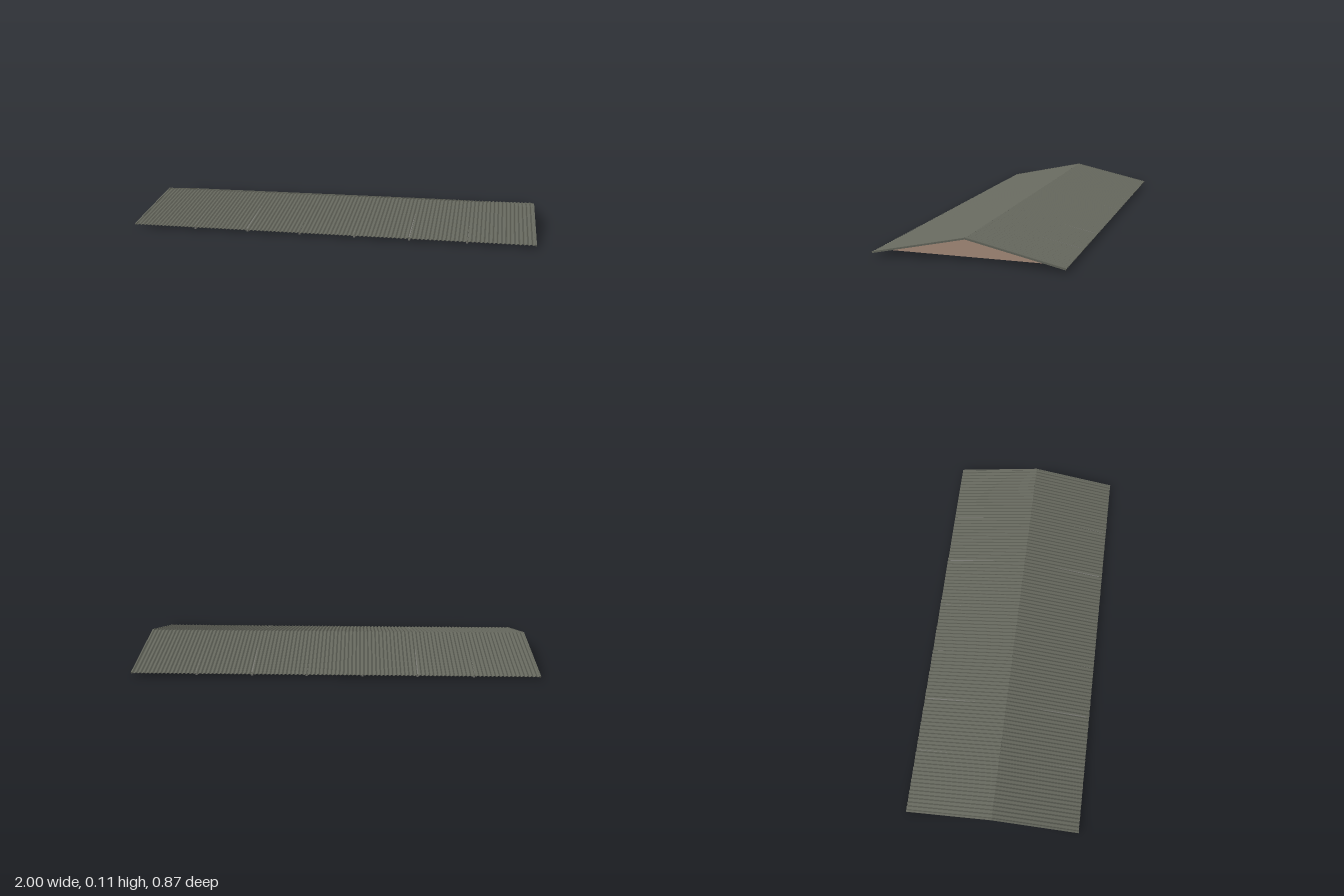
import * as THREE from 'three';

const material = (name, color) => {
  const m = new THREE.MeshStandardMaterial({ color });
  m.name = name;
  return m;
};

const RIDGE = 0.1115, EAVE_Z = 0.437, DROP = 0.095;
const PITCH = Math.atan2(DROP, EAVE_Z);
const LENGTH = Math.hypot(DROP, EAVE_Z);

export function createModel() {
  const sheetGrey = material('roofSheetGrey', 0x64665c);
  const steelGrey = material('steelGrey', 0x777771);
  const clay = material('gableClay', 0xa88d7c);
  const model = new THREE.Group();
  model.name = 'corrugatedRoof';

  const add = (parent, name, geometry, mat) => {
    const mesh = new THREE.Mesh(geometry, mat);
    mesh.name = name;
    parent.add(mesh);
    return mesh;
  };

  // Corrugated sheet: a wave profile with thickness, extruded down the slope
  const ribs = 100, samples = 8, steps = ribs * samples, half = 0.995;
  const wave = [];
  for (let i = 0; i <= steps; i++) {
    const x = -half + (2 * half * i) / steps;
    wave.push([x, -0.0025 + 0.0025 * Math.cos((i / samples) * Math.PI * 2)]);
  }
  const outline = [
    ...wave.map(([x, y]) => new THREE.Vector2(x, y - 0.0015)),
    ...wave.reverse().map(([x, y]) => new THREE.Vector2(x, y)),
  ];
  const sheetGeometry = new THREE.ExtrudeGeometry(new THREE.Shape(outline), {
    depth: LENGTH, bevelEnabled: false,
  });
  const vergeGeometry = new THREE.BoxGeometry(0.008, 0.0075, LENGTH);

  for (const side of ['front', 'back']) {
    const turn = new THREE.Group();
    turn.name = side + 'RoofSide';
    turn.rotation.y = side === 'front' ? 0 : Math.PI;
    const slope = new THREE.Group();
    slope.name = side + 'Slope';
    slope.position.y = RIDGE;
    slope.rotation.x = PITCH;
    turn.add(slope);
    model.add(turn);
    add(slope, side + 'Sheet', sheetGeometry, sheetGrey);
    // Verge trims closing the sheet ends
    for (const s of [-1, 1]) {
      add(slope, side + 'VergeTrim', vergeGeometry, sheetGrey)
        .position.set(s * 0.996, -0.0033, LENGTH / 2);
    }
  }

  // Straight truss member between two points [z, y]
  const bar = (parent, name, a, b, width, height) => {
    const dz = b[0] - a[0], dy = b[1] - a[1];
    const mesh = add(parent, name,
      new THREE.BoxGeometry(width, height, Math.hypot(dz, dy)), steelGrey);
    mesh.position.set(0, (a[1] + b[1]) / 2, (a[0] + b[0]) / 2);
    mesh.rotation.x = -Math.atan2(dy, dz);
  };

  // Six triangular trusses with king post and struts
  for (const x of [-0.68, -0.405, -0.137, 0.137, 0.405, 0.68]) {
    const truss = new THREE.Group();
    truss.name = 'truss';
    truss.position.x = x;
    model.add(truss);
    bar(truss, 'bottomChord', [-0.42, 0.007], [0.42, 0.007], 0.01, 0.014);
    bar(truss, 'kingPost', [0, 0.01], [0, 0.098], 0.008, 0.01);
    for (const s of [-1, 1]) {
      bar(truss, 'topChord', [s * 0.42, 0.0118], [0, 0.0985], 0.008, 0.012);
      bar(truss, 'strut', [0, 0.01], [s * 0.2, 0.056], 0.006, 0.007);
    }
  }

  // Triangular gable panels set in from both ends
  const gable = new THREE.Shape([
    new THREE.Vector2(-0.395, 0.0145),
    new THREE.Vector2(0.395, 0.0145),
    new THREE.Vector2(0.385, 0.022),
    new THREE.Vector2(0, 0.106),
    new THREE.Vector2(-0.385, 0.022),
  ]);
  const gableGeometry = new THREE.ExtrudeGeometry(gable, { depth: 0.008, bevelEnabled: false });
  gableGeometry.translate(0, 0, -0.004).rotateY(Math.PI / 2);
  for (const s of [-1, 1]) {
    add(model, s > 0 ? 'leftGable' : 'rightGable', gableGeometry, clay).position.x = s * 0.945;
  }
  return model;
}
